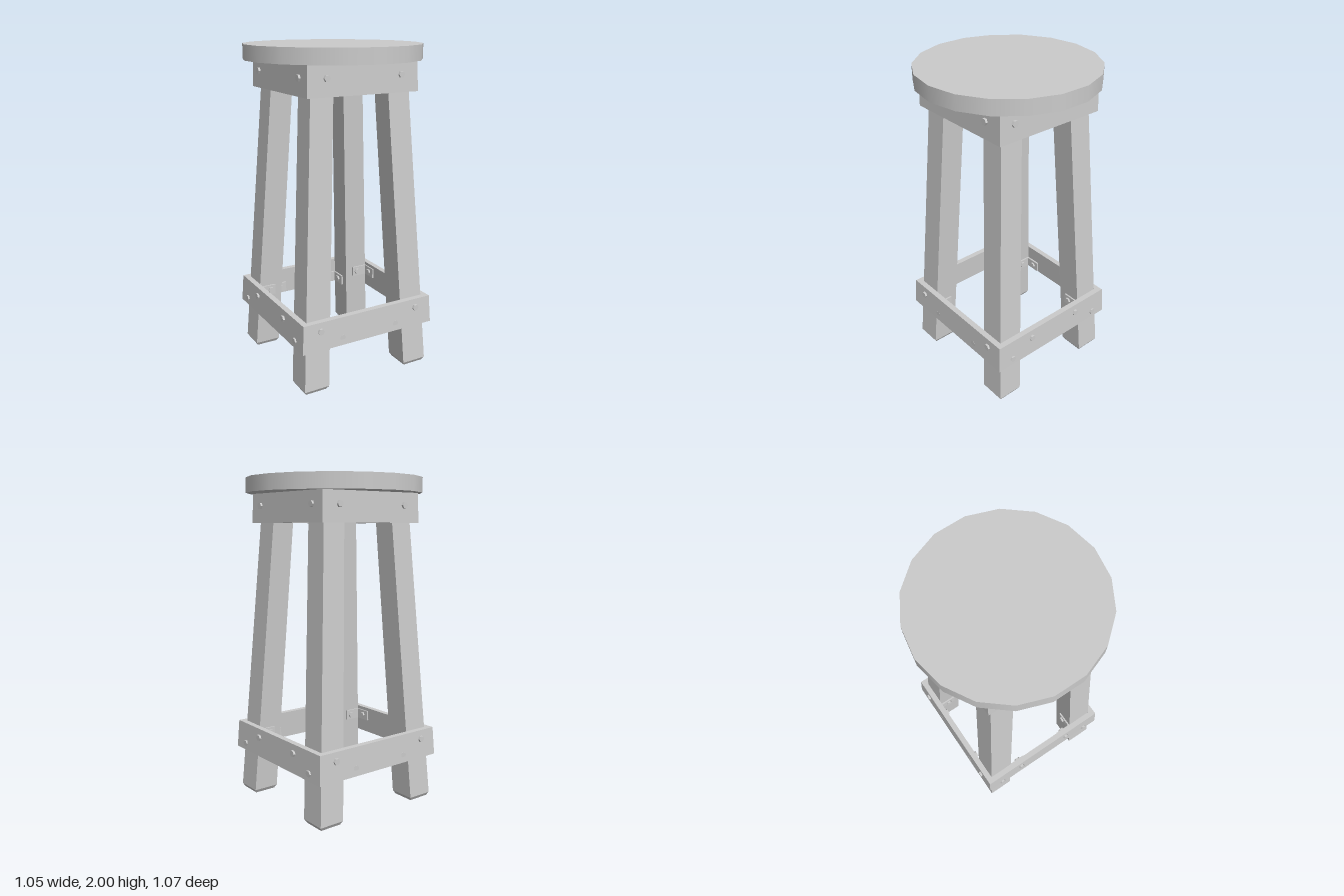
import * as THREE from 'three';

const material = new THREE.MeshStandardMaterial({ color: 0xcccccc, flatShading: true });
const smooth = new THREE.MeshStandardMaterial({ color: 0xcccccc });

function add(parent, name, geometry, x = 0, y = 0, z = 0, mat = material) {
  const mesh = new THREE.Mesh(geometry, mat);
  mesh.name = name;
  mesh.position.set(x, y, z);
  parent.add(mesh);
  return mesh;
}

// Square frame of four boards, leaning inwards with the legs
function frame(y0, y1, half0, half1, thickness) {
  const s = Math.SQRT2;
  const profile = [
    [half0, y0], [half1, y1], [half1 - thickness, y1], [half0 - thickness, y0], [half0, y0],
  ].map(([x, y]) => new THREE.Vector2(x * s, y));
  return new THREE.LatheGeometry(profile, 4, Math.PI / 4);
}

// Tapered, splayed square leg with a chamfered foot: [y, outer edge, inner edge]
const legSections = [[0, 0.422, 0.285], [0.022, 0.435, 0.272], [1.91, 0.314, 0.172]];
function leg(sx, sz) {
  const geometry = new THREE.BoxGeometry(2, 2, 2, 1, 2, 1);
  const p = geometry.attributes.position;
  for (let i = 0; i < p.count; i++) {
    const [y, outer, inner] = legSections[Math.round(p.getY(i)) + 1];
    const mid = (outer + inner) / 2, half = (outer - inner) / 2;
    p.setXYZ(i, sx * mid + p.getX(i) * half, y, sz * mid + p.getZ(i) * half);
  }
  geometry.computeVertexNormals();
  return geometry;
}

// Hexagonal bolt whose shaft axis runs along x or z
function bolt(parent, axis, x, y, z, length = 0.03) {
  const geometry = new THREE.CylinderGeometry(0.02, 0.02, length, 6);
  if (axis === 'x') geometry.rotateZ(Math.PI / 2);
  else geometry.rotateX(Math.PI / 2).rotateZ(Math.PI / 6);
  add(parent, 'bolt', geometry, x, y, z);
}

// L-shaped bracket joining a rail to the side of a leg
function bracket(parent, railAxis, sx, sz, y) {
  const group = new THREE.Group();
  group.name = 'cornerBracket';
  parent.add(group);
  const long = 0.11, tall = 0.065, thin = 0.012;
  // u runs along the rail, v runs towards the rail
  const plate = (du, dv, u, v) => railAxis === 'x'
    ? add(group, 'bracketPlate', new THREE.BoxGeometry(du, tall, dv), sx * u, y, sz * v)
    : add(group, 'bracketPlate', new THREE.BoxGeometry(dv, tall, du), sx * v, y, sz * u);
  const inside = 0.411, legFace = 0.256 - (y - 0.33) * 0.053;
  plate(long, thin, legFace - long / 2, inside - 0.003);
  plate(thin, long, legFace - thin / 2, inside - long / 2);
  // Inner heads on both plates
  if (railAxis === 'x') {
    bolt(group, 'z', sx * 0.188, y, sz * 0.402, 0.024);
    bolt(group, 'x', sx * (legFace - 0.012), y, sz * 0.348, 0.024);
  } else {
    bolt(group, 'x', sx * 0.402, y, sz * 0.188, 0.024);
    bolt(group, 'z', sx * 0.335, y, sz * (legFace - 0.012), 0.024);
  }
}

export function createModel() {
  const model = new THREE.Group();
  model.name = 'stool';

  // Round seat
  add(model, 'seat', new THREE.CylinderGeometry(0.535, 0.535, 0.09, 18), 0, 1.955, 0, smooth);

  // Upper apron and lower foot rails
  add(model, 'apron', frame(1.733, 1.912, 0.363, 0.358, 0.04));
  add(model, 'footRails', frame(0.282, 0.457, 0.455, 0.445, 0.036));

  for (const sx of [-1, 1]) {
    for (const sz of [-1, 1]) {
      const corner = new THREE.Group();
      corner.name = 'corner';
      model.add(corner);
      add(corner, 'leg', leg(sx, sz));

      // Apron bolts
      bolt(corner, 'z', sx * 0.243, 1.835, sz * 0.358);
      bolt(corner, 'x', sx * 0.358, 1.835, sz * 0.265);

      // Foot rail bolts into the legs
      bolt(corner, 'z', sx * 0.335, 0.403, sz * 0.446);
      bolt(corner, 'x', sx * 0.447, 0.328, sz * 0.348);

      // Foot rail bolts into the brackets
      bolt(corner, 'z', sx * 0.188, 0.328, sz * 0.438);
      bolt(corner, 'x', sx * 0.446, 0.403, sz * 0.188);

      bracket(corner, 'x', sx, sz, 0.328);
      bracket(corner, 'z', sx, sz, 0.403);
    }
  }
  return model;
}
